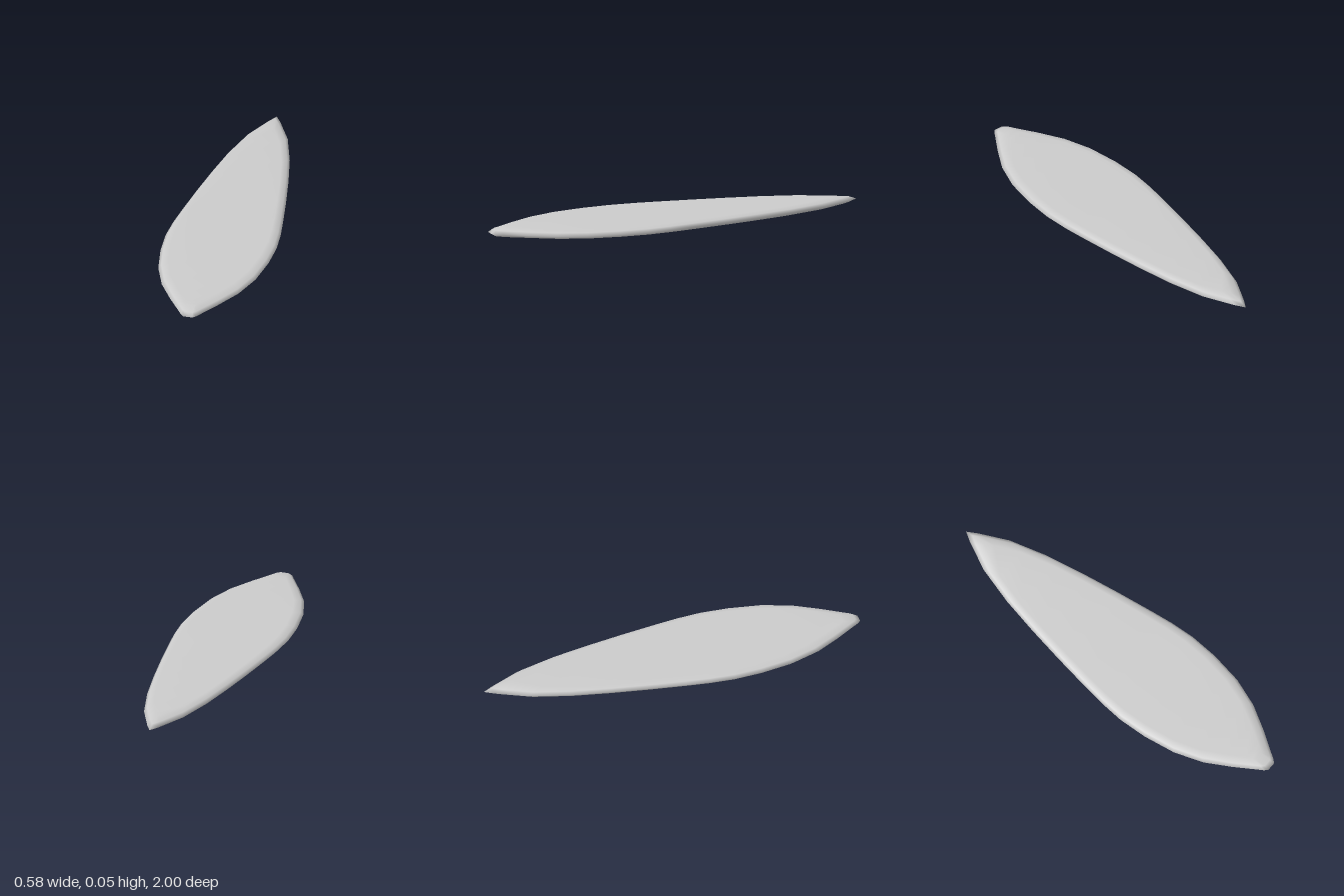
import * as THREE from 'three';

// Plan outline: [z, half width], from the pointed tail to the blunt front end
const OUTLINE = [
  [-1, 0], [-0.95, 0.03], [-0.8, 0.103], [-0.6, 0.16], [-0.4, 0.2], [-0.2, 0.234], [0, 0.264],
  [0.12, 0.28], [0.25, 0.289], [0.4, 0.281], [0.57, 0.253], [0.72, 0.2], [0.85, 0.125],
  [0.95, 0.06], [0.985, 0.038], [1, 0.022],
];
// Rim profile from bottom to top: [y, width scale, tail length scale, front length scale]
const LEVELS = [
  [0.002, 0.83, 0.88, 0.92], [0.011, 0.95, 0.96, 0.975], [0.026, 1, 1, 1],
  [0.041, 0.95, 0.96, 0.975], [0.05, 0.83, 0.88, 0.92],
];

function boardGeometry() {
  const n = OUTLINE.length, ring = 2 * n - 1;
  const positions = [], index = [];

  // One closed loop per level: along +x to the front, back along -x
  for (const [y, sx, tail, front] of LEVELS) {
    for (let j = 0; j < ring; j++) {
      const right = j < n;
      const [z, w] = OUTLINE[right ? j : ring - j];
      positions.push((right ? w : -w) * sx, y - 0.001, z * (z < 0 ? tail : front));
    }
  }

  // Rounded rim between the loops
  for (let k = 0; k < LEVELS.length - 1; k++) {
    for (let j = 0; j < ring; j++) {
      const a = k * ring + j, b = k * ring + (j + 1) % ring;
      index.push(a, a + ring, b + ring, a, b + ring, b);
    }
  }

  // Flat deck and underside, as strips from side to side
  const top = (LEVELS.length - 1) * ring;
  for (let i = 0; i < n - 1; i++) {
    const r0 = i, r1 = i + 1, l0 = (ring - i) % ring, l1 = ring - i - 1;
    const tris = i === 0 ? [[r0, l1, r1]] : [[r0, l0, l1], [r0, l1, r1]];
    for (const [a, b, c] of tris) {
      index.push(top + a, top + b, top + c, a, c, b);
    }
  }

  const geometry = new THREE.BufferGeometry();
  geometry.setAttribute('position', new THREE.Float32BufferAttribute(positions, 3));
  geometry.setIndex(index);
  geometry.computeVertexNormals();
  return geometry;
}

export function createModel() {
  const group = new THREE.Group();
  const board = new THREE.Mesh(boardGeometry(), new THREE.MeshStandardMaterial({ color: 0xcccccc }));
  board.name = 'board';
  board.position.y = -0.001;
  group.add(board);
  return group;
}
